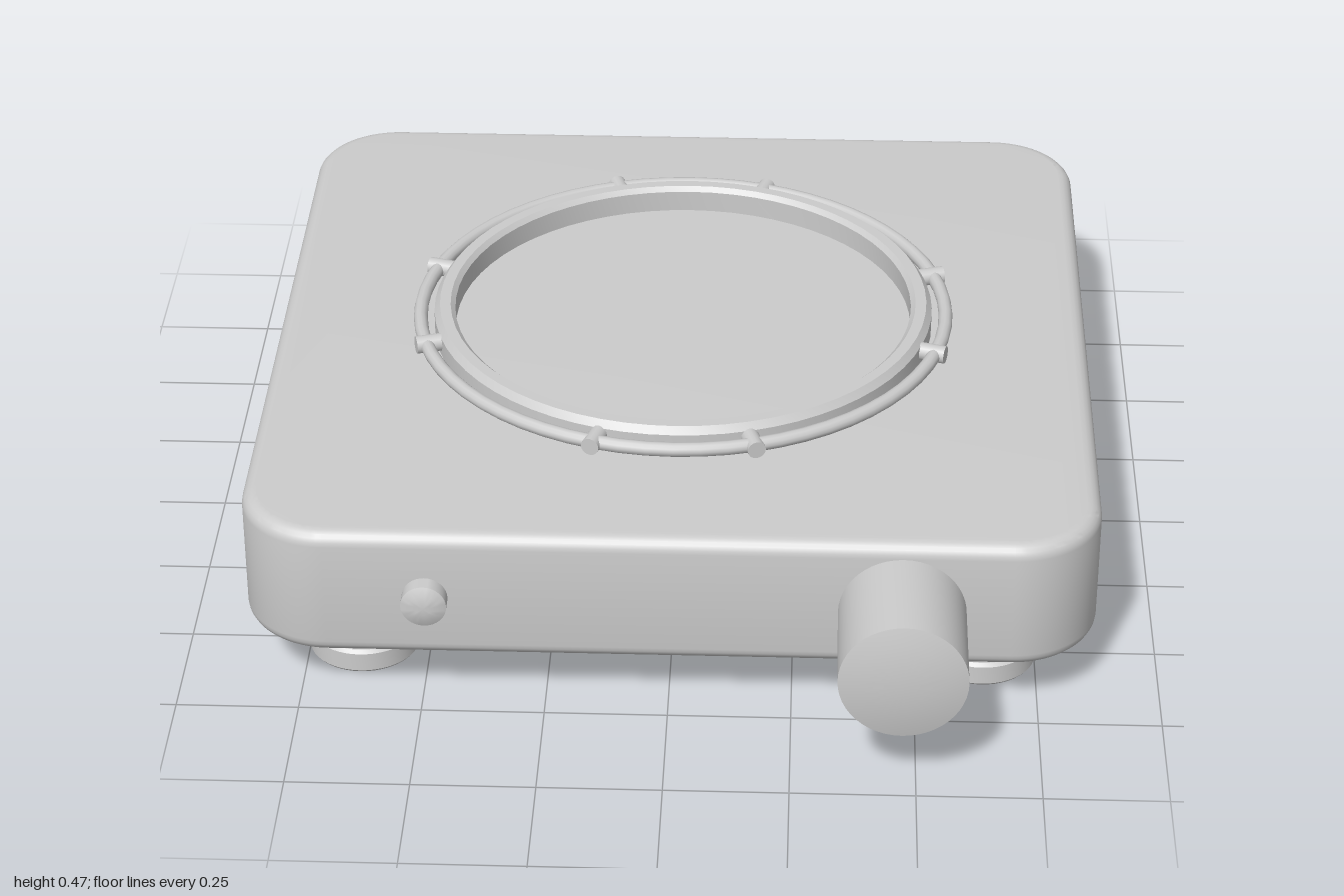
import * as THREE from 'three';
import { toCreasedNormals } from 'three/addons/utils/BufferGeometryUtils.js';

const material = new THREE.MeshStandardMaterial({ color: 0xcccccc });

function add(parent, name, geometry, x = 0, y = 0, z = 0) {
  const mesh = new THREE.Mesh(geometry, material);
  mesh.name = name;
  mesh.position.set(x, y, z);
  parent.add(mesh);
  return mesh;
}

// Lathe with crisp edges where the profile turns sharply
function turned(points, segments = 48) {
  const profile = points.map(([r, y]) => new THREE.Vector2(r, y));
  return toCreasedNormals(new THREE.LatheGeometry(profile, segments), 0.6);
}

// Rounded slab lying flat, with softened top and bottom edges
function slab(width, depth, height, radius, bevel) {
  const w = width / 2 - bevel, d = depth / 2 - bevel, r = radius - bevel;
  const s = new THREE.Shape();
  s.absarc(w - r, d - r, r, 0, Math.PI / 2);
  s.absarc(-w + r, d - r, r, Math.PI / 2, Math.PI);
  s.absarc(-w + r, -d + r, r, Math.PI, Math.PI * 1.5);
  s.absarc(w - r, -d + r, r, Math.PI * 1.5, Math.PI * 2);
  const g = new THREE.ExtrudeGeometry(s, {
    depth: height - 2 * bevel, bevelThickness: bevel, bevelSize: bevel,
    bevelSegments: 5, curveSegments: 12,
  });
  g.translate(0, 0, bevel - height / 2);
  g.rotateX(-Math.PI / 2);
  return toCreasedNormals(g, 0.6);
}

export function createModel() {
  const model = new THREE.Group();
  model.name = 'hotPlate';

  // Housing
  add(model, 'body', slab(1.736, 1.73, 0.287, 0.18, 0.03), 0, 0.2645, -0.135);

  // Burner: raised rim, guard ring and radial pegs
  const burner = new THREE.Group();
  burner.name = 'burner';
  burner.position.set(0, 0.405, -0.135);
  model.add(burner);
  add(burner, 'rim', turned([
    [0.49, 0], [0.535, 0], [0.535, 0.045], [0.523, 0.06], [0.5, 0.06], [0.49, 0.05], [0.49, 0],
  ], 64));
  const ring = add(burner, 'guardRing', new THREE.TorusGeometry(0.565, 0.015, 12, 64), 0, 0.03, 0);
  ring.rotation.x = Math.PI / 2;
  const pegShape = new THREE.CylinderGeometry(0.019, 0.019, 0.07, 16);
  pegShape.rotateZ(Math.PI / 2);
  for (let quarter = 0; quarter < 4; quarter++) {
    for (const side of [-1, 1]) {
      const a = quarter * Math.PI / 2 + side * 0.295;
      const peg = add(burner, 'ringPeg', pegShape, 0.552 * Math.cos(a), 0.03, 0.552 * Math.sin(a));
      peg.rotation.y = -a;
    }
  }

  // Feet: flared neck on a round pad
  const footShape = turned([
    [0, 0], [0.11, 0], [0.114, 0.005], [0.114, 0.045], [0.107, 0.052], [0.062, 0.054],
    [0.063, 0.075], [0.068, 0.095], [0.077, 0.113], [0.086, 0.122], [0, 0.122],
  ]);
  for (const x of [-0.638, 0.638]) {
    for (const z of [-0.77, 0.51]) add(model, 'foot', footShape, x, 0, z);
  }

  // Control knob on its shaft, axis towards the front
  const knob = add(model, 'controlKnob', turned([
    [0, 0], [0.045, 0], [0.045, 0.03], [0.128, 0.03], [0.128, 0.265],
    [0.09, 0.274], [0.045, 0.279], [0, 0.281],
  ]), 0.468, 0.262, 0.719);
  knob.rotation.x = Math.PI / 2;

  // Indicator lamp
  const lamp = add(model, 'indicatorLamp', turned([
    [0, 0], [0.046, 0], [0.046, 0.044], [0.03, 0.051], [0.015, 0.054], [0, 0.055],
  ], 32), -0.486, 0.264, 0.719);
  lamp.rotation.x = Math.PI / 2;

  return model;
}
